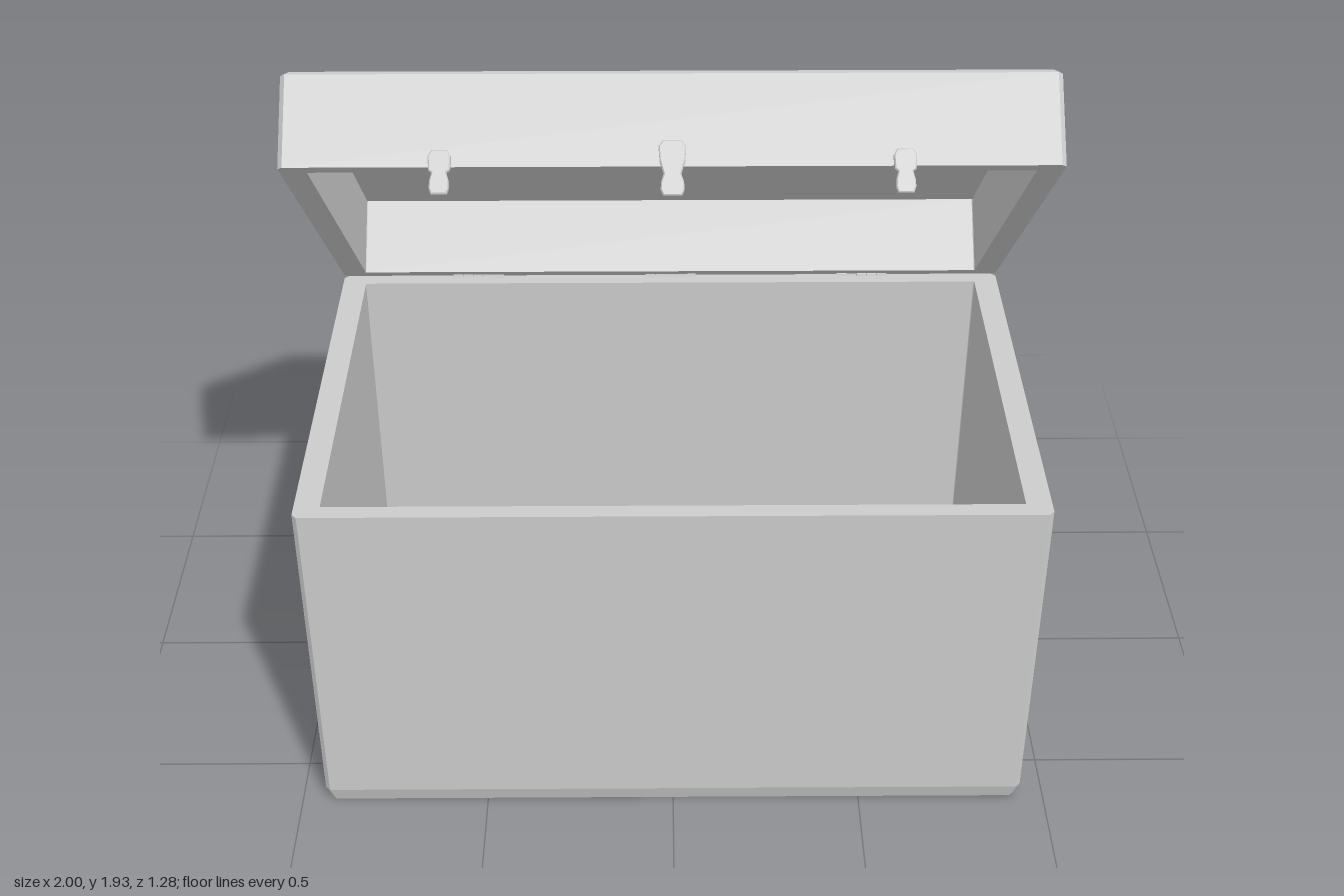
import * as THREE from 'three';

const material = new THREE.MeshStandardMaterial({ color: 0xcccccc, flatShading: true });

function add(parent, name, geometry, x = 0, y = 0, z = 0) {
  const mesh = new THREE.Mesh(geometry, material);
  mesh.name = name;
  mesh.position.set(x, y, z);
  parent.add(mesh);
  return mesh;
}

// Chamfered rectangle at height y, counter-clockwise from above
function ring(y, w, d, c) {
  return [[w, d - c], [w, c - d], [w - c, -d], [c - w, -d], [-w, c - d], [-w, d - c], [c - w, d], [w - c, d]]
    .map(([x, z]) => [x, y, z]);
}

// Open box: outer base, up the outside, over the rim, down to the inner floor
function shell(rings) {
  const pos = [];
  const n = rings[0].length;
  const last = rings[rings.length - 1];
  for (let i = 0; i < n; i++) {
    const j = (i + 1) % n;
    pos.push([0, rings[0][0][1], 0], rings[0][j], rings[0][i]);
    for (let k = 0; k < rings.length - 1; k++) {
      const a = rings[k], b = rings[k + 1];
      pos.push(a[i], a[j], b[j], a[i], b[j], b[i]);
    }
    pos.push([0, last[0][1], 0], last[i], last[j]);
  }
  const g = new THREE.BufferGeometry();
  g.setAttribute('position', new THREE.Float32BufferAttribute(pos.flat(), 3));
  g.computeVertexNormals();
  return g;
}

function polygon(points) {
  return new THREE.Shape(points.map(([x, y]) => new THREE.Vector2(x, y)));
}

const W = 0.935, D = 0.56, IW = 0.87, ID = 0.517, H = 0.975, CZ = 0.085, LID = 0.24;

// Latch: waisted plate with a hook at the tip, on the front of the lid
function latch(parent, x, s, top, bottom) {
  const g = new THREE.Group();
  g.name = 'latch';
  g.position.set(x, 0, 2 * D);
  parent.add(g);
  const half = [[0.018, bottom], [0.023, bottom + 0.012], [0.022, bottom + 0.03], [0.016, bottom + 0.05],
    [0.025, top - 0.045], [0.027, top - 0.012], [0.019, top]].map(([a, b]) => [a * s, b]);
  const outline = [...half, ...half.map(([a, b]) => [-a, b]).reverse()];
  add(g, 'latchPlate', new THREE.ExtrudeGeometry(polygon(outline), {
    depth: 0.012, bevelEnabled: true, bevelThickness: 0.003, bevelSize: 0.003, bevelSegments: 1,
  }), 0, 0, 0.003);
  add(g, 'latchHook', new THREE.BoxGeometry(0.036 * s, 0.014, 0.016), 0, bottom + 0.007, -0.002);
}

// Hinge: row of knuckles with a leaf on the back wall
function hinge(parent, x) {
  const g = new THREE.Group();
  g.name = 'hinge';
  g.position.set(x, H, CZ - D);
  parent.add(g);
  for (let i = -2; i <= 2; i++) {
    const r = i % 2 ? 0.011 : 0.013;
    add(g, 'hingeKnuckle', new THREE.CylinderGeometry(r, r, 0.028, 10).rotateZ(Math.PI / 2), i * 0.029, 0, -0.002);
  }
  add(g, 'hingeLeaf', new THREE.BoxGeometry(0.145, 0.02, 0.008), 0, -0.01, -0.003);
}

// Handle: wedge bracket with a slanted slotted grip
function handle(parent, turn) {
  const g = new THREE.Group();
  g.name = 'handle';
  g.position.z = 0.082;
  g.rotation.y = turn;
  parent.add(g);
  const wedge = polygon([[W - 0.01, 0.69], [0.966, 0.69], [0.971, 0.70], [0.938, 0.755], [W - 0.01, 0.755]]);
  add(g, 'handleBracket', new THREE.ExtrudeGeometry(wedge, { depth: 0.245, bevelEnabled: false }), 0, 0, -0.1225);
  const grip = polygon([[-0.1225, -0.07], [0.1225, -0.07], [0.1225, 0.012], [-0.1225, 0.012]]);
  grip.holes.push(polygon([[-0.105, -0.055], [-0.105, -0.011], [0.105, -0.011], [0.105, -0.055]]));
  const frame = new THREE.ExtrudeGeometry(grip, { depth: 0.012, bevelEnabled: false }).rotateY(Math.PI / 2);
  add(g, 'handleGrip', frame, 0.958, 0.695, 0).rotation.z = 0.46;
}

export function createModel() {
  const model = new THREE.Group();
  model.name = 'chest';

  // Body with a tapered foot
  add(model, 'body', shell([
    ring(0, W - 0.012, D - 0.012, 0.012), ring(0.045, W, D, 0.012), ring(H, W, D, 0.012),
    ring(H, IW, ID, 0.002), ring(0.045, IW, ID, 0.002),
  ]), 0, 0, CZ);

  // Lid, swung open 45 degrees about the back edge
  const lid = new THREE.Group();
  lid.name = 'lid';
  lid.position.set(0, H, CZ - D);
  lid.rotation.x = -Math.PI / 4;
  model.add(lid);
  add(lid, 'lidShell', shell([
    ring(0, W - 0.01, D - 0.01, 0.012), ring(0.01, W, D, 0.012), ring(LID, W, D, 0.012),
    ring(LID, IW, ID, 0.002), ring(0.03, IW, ID, 0.002),
  ]).rotateX(Math.PI), 0, LID, D);

  for (const x of [-0.55, 0, 0.55]) {
    hinge(model, x);
    if (x === 0) latch(lid, x, 1.1, 0.057, -0.072);
    else latch(lid, x, 0.9, 0.035, -0.067);
  }
  for (const turn of [0, Math.PI]) handle(model, turn);
  return model;
}
